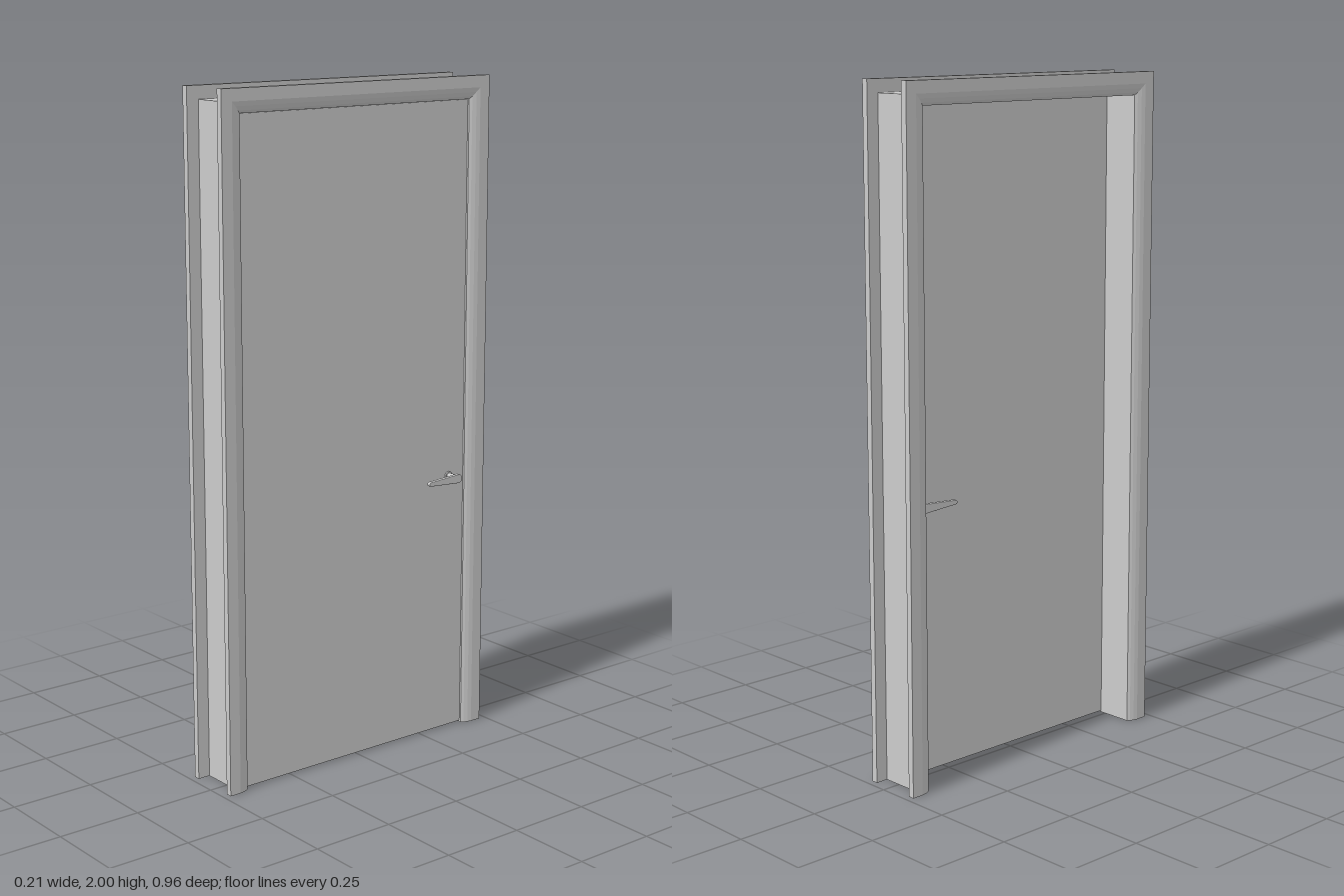
import * as THREE from 'three';

const material = new THREE.MeshStandardMaterial({ color: 0xcccccc });
const HALF_WIDTH = 0.48, HEIGHT = 2;

function add(parent, name, geometry, x = 0, y = 0, z = 0) {
  const mesh = new THREE.Mesh(geometry, material);
  mesh.name = name;
  mesh.position.set(x, y, z);
  parent.add(mesh);
  return mesh;
}

// Sweeps a convex profile of [inset, x] points up, across and down the
// doorway, with mitred top corners and closed feet.
function sweepAroundDoorway(profile) {
  const legs = [[1, 0], [1, 1], [-1, 1], [-1, 0]]; // side, at the top?
  const point = (leg, i) => {
    const [inset, x] = profile[i % profile.length];
    const [side, top] = legs[leg];
    return [x, top ? HEIGHT - inset : 0, side * (HALF_WIDTH - inset)];
  };
  const positions = [];
  const triangle = (a, b, c) => positions.push(...a, ...b, ...c);
  for (let leg = 0; leg < 3; leg++) {
    for (let i = 0; i < profile.length; i++) {
      const a = point(leg, i), b = point(leg, i + 1);
      const c = point(leg + 1, i + 1), d = point(leg + 1, i);
      triangle(a, b, c);
      triangle(a, c, d);
    }
  }
  for (let i = 1; i < profile.length - 1; i++) {
    triangle(point(0, 0), point(0, i + 1), point(0, i));
    triangle(point(3, 0), point(3, i), point(3, i + 1));
  }
  const geometry = new THREE.BufferGeometry();
  geometry.setAttribute('position', new THREE.Float32BufferAttribute(positions, 3));
  geometry.computeVertexNormals();
  return geometry;
}

// Lever handle standing out along +x, its grip pointing to +z
function createHandle(name) {
  const handle = new THREE.Group();
  handle.name = name;

  const rosette = new THREE.CylinderGeometry(0.0135, 0.0135, 0.006, 24);
  rosette.rotateZ(Math.PI / 2);
  add(handle, 'rosette', rosette, 0.003);

  const shank = new THREE.CylinderGeometry(0.0095, 0.0095, 0.042, 24);
  shank.rotateZ(Math.PI / 2);
  add(handle, 'shank', shank, 0.021);

  // Tapered grip with rounded ends
  const grip = new THREE.Shape();
  grip.absarc(0, 0, 0.0135, -Math.PI / 2, Math.PI / 2, false);
  grip.absarc(-0.109, 0, 0.0065, Math.PI / 2, Math.PI * 1.5, false);
  grip.closePath();
  const lever = new THREE.ExtrudeGeometry(grip, {
    depth: 0.009, curveSegments: 12,
    bevelThickness: 0.002, bevelSize: 0.002, bevelOffset: -0.002, bevelSegments: 2,
  });
  lever.rotateY(Math.PI / 2);
  add(handle, 'lever', lever, 0.039);
  return handle;
}

export function createModel() {
  const door = new THREE.Group();
  door.name = 'door';

  // Jambs and head lining the opening
  add(door, 'jamb', sweepAroundDoorway([
    [0.038, 0.054], [0.067, 0.054], [0.067, -0.089], [0.038, -0.089],
  ]));

  // Casings on both faces: flat outside, sloping off towards the opening
  const casing = [
    [0, 0.019], [0.035, 0.019], [0.048, 0.0165], [0.06, 0.012], [0.068, 0.007], [0.068, 0], [0, 0],
  ];
  add(door, 'rightCasing', sweepAroundDoorway(casing.map(([d, h]) => [d, 0.053 + h])));
  add(door, 'leftCasing', sweepAroundDoorway(casing.map(([d, h]) => [d, -0.088 - h]).reverse()));

  // Door leaf, set near the right face
  add(door, 'leaf', new THREE.BoxGeometry(0.037, 1.926, 0.824), 0.0355, 0.968, 0);

  // Handles on both faces of the leaf; half a turn about z mirrors the pair
  const outer = createHandle('rightHandle');
  outer.position.set(0.053, 0.807, -0.353);
  const inner = createHandle('leftHandle');
  inner.position.set(0.018, 0.807, -0.353);
  inner.rotation.z = Math.PI;
  door.add(outer, inner);

  return door;
}
